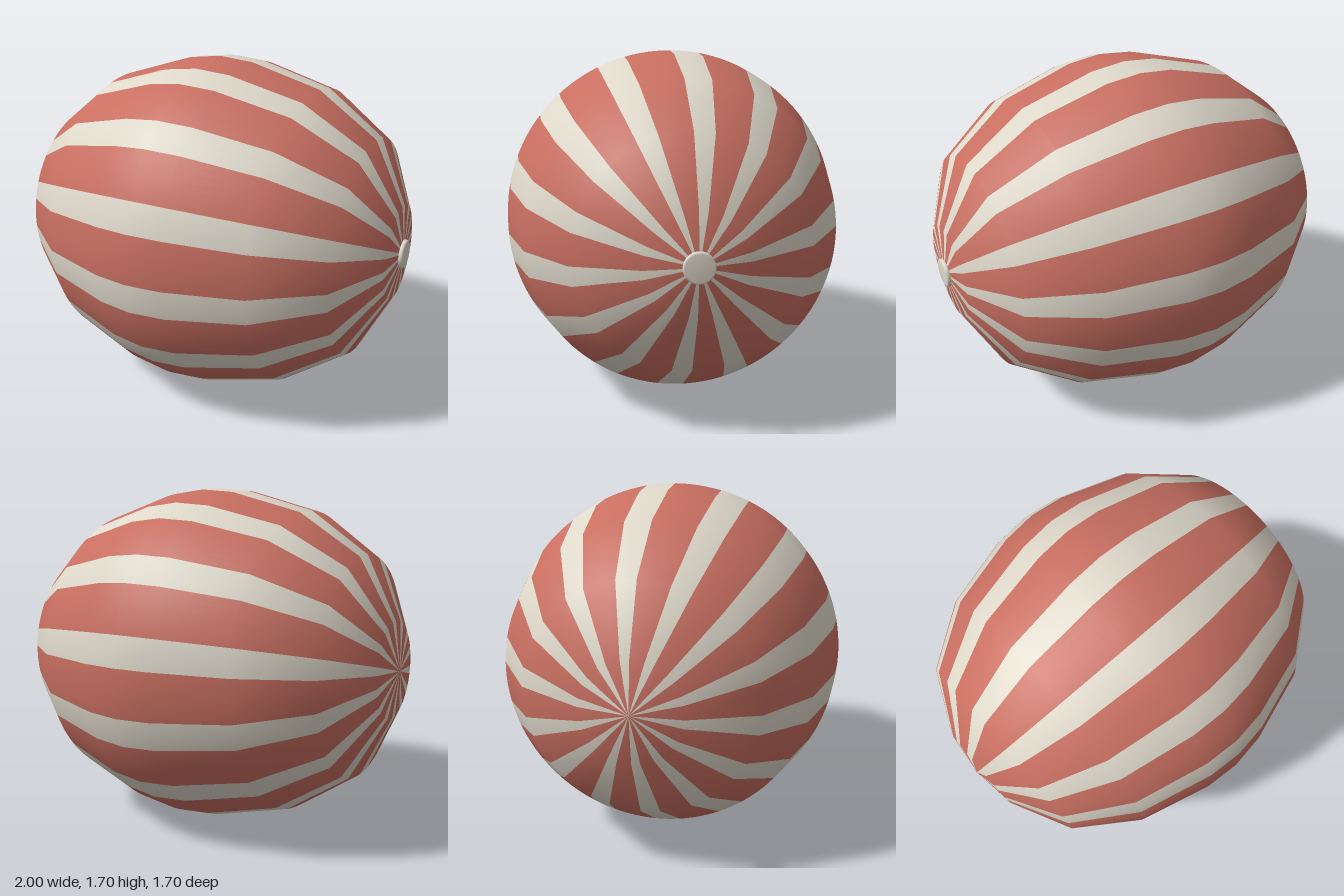
import * as THREE from 'three';
import { mergeGeometries } from 'three/addons/utils/BufferGeometryUtils.js';

const STRIPES = 14;
const CENTER_Y = 0.852;

export function createModel() {
  const red = new THREE.MeshStandardMaterial({ color: 0xc86f61 });
  red.name = 'soft red';
  const cream = new THREE.MeshStandardMaterial({ color: 0xded8ca });
  cream.name = 'cream';

  const group = new THREE.Group();
  group.name = 'stripedBall';
  const add = (geometry, material, name, x) => {
    geometry.rotateZ(-Math.PI / 2); // lathe axis becomes +x
    const mesh = new THREE.Mesh(geometry, material);
    mesh.name = name;
    mesh.position.set(x, CENTER_Y, 0);
    group.add(mesh);
  };

  // Faceted profile from pole to pole (radius, distance along the axis)
  const half = [[0.85, 0], [0.832, 0.175], [0.73, 0.532], [0.527, 0.82], [0.227, 0.967], [0, 0.995]];
  const profile = [
    ...half.slice(1).reverse().map(([r, x]) => new THREE.Vector2(r, -x)),
    ...half.map(([r, x]) => new THREE.Vector2(r, x)),
  ];

  // Wedges: angles run from the top towards the back
  const period = (Math.PI * 2) / STRIPES;
  const creamWidth = period * 0.385;
  const wedges = (offset, width, segments) => {
    const parts = [];
    for (let i = 0; i < STRIPES; i++) {
      const end = i * period + offset + width;
      parts.push(new THREE.LatheGeometry(profile, segments, -Math.PI / 2 - end, width));
    }
    return mergeGeometries(parts);
  };
  add(wedges(0, creamWidth, 4), cream, 'creamStripes', -0.005);
  add(wedges(creamWidth, period - creamWidth, 6), red, 'redStripes', -0.005);

  // Round button with a bevelled rim on the left pole
  const button = [[0.062, -0.03], [0.068, -0.02], [0.068, -0.006], [0.06, 0], [0, 0]]
    .map(([r, x]) => new THREE.Vector2(r, x));
  add(new THREE.LatheGeometry(button, 32), cream, 'button', 1);

  return group;
}
